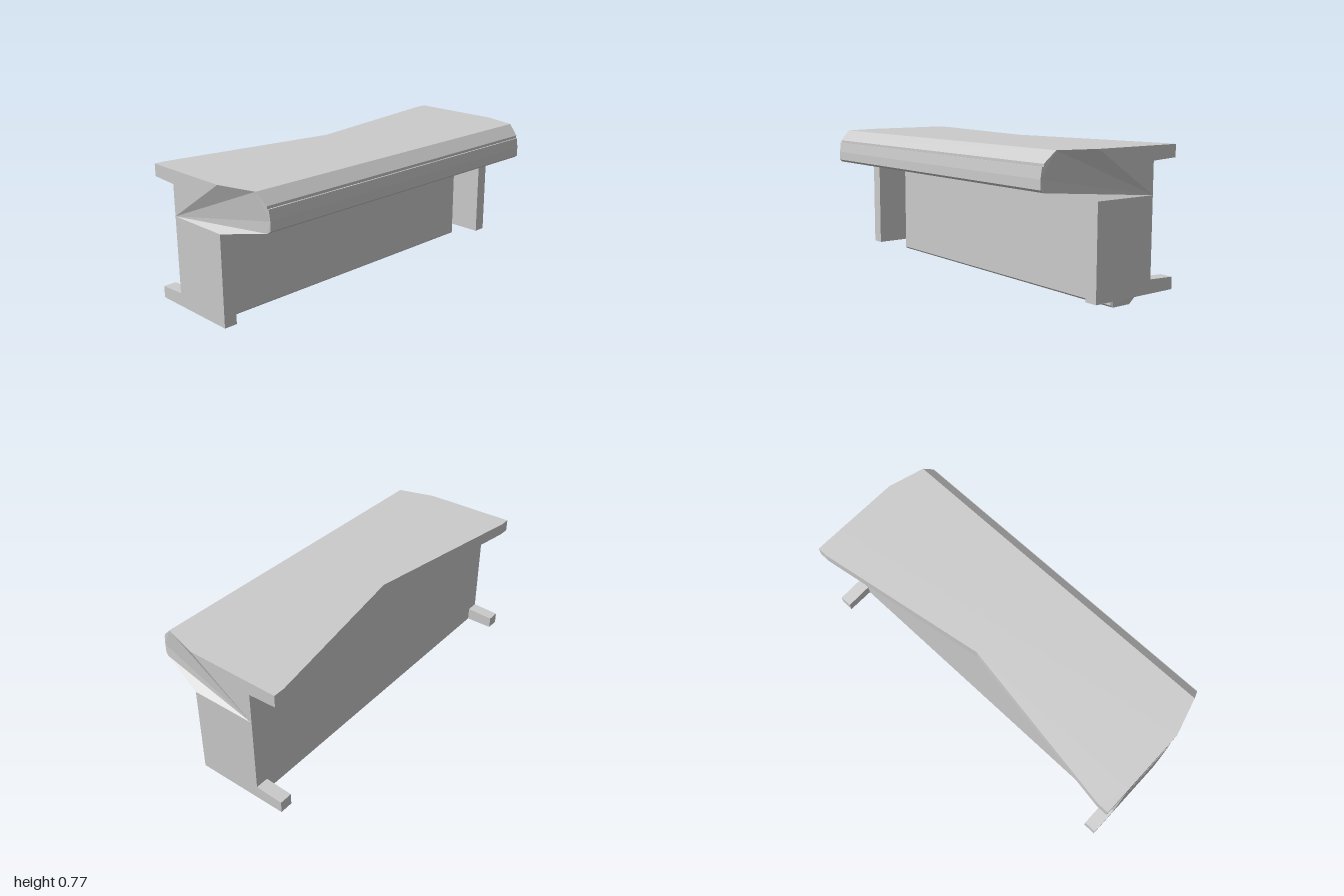
import * as THREE from 'three';

const material = new THREE.MeshStandardMaterial({ color: 0xcccccc, flatShading: true });

// Extrude a [z, y] profile along x between x0 and x1
function alongX(profile, x0, x1) {
  const shape = new THREE.Shape(profile.map(([z, y]) => new THREE.Vector2(z, y)));
  const geo = new THREE.ExtrudeGeometry(shape, { depth: x1 - x0, bevelEnabled: false });
  return geo.rotateY(-Math.PI / 2).translate(x1, 0, 0);
}

// Move every vertex of a geometry by a rule
function reshape(geo, rule) {
  const pos = geo.attributes.position;
  const v = new THREE.Vector3();
  for (let i = 0; i < pos.count; i++) {
    rule(v.fromBufferAttribute(pos, i));
    pos.setXYZ(i, v.x, v.y, v.z);
  }
  geo.computeVertexNormals();
  return geo;
}

export function createModel() {
  const group = new THREE.Group();
  const add = (name, geo) => {
    const mesh = new THREE.Mesh(geo, material);
    mesh.name = name;
    group.add(mesh);
  };

  // Overhanging canopy with a sloped nose, narrowing towards the front
  const canopy = alongX([
    [-0.24, 0.535], [0.118, 0.535], [0.375, 0.585], [0.392, 0.598], [0.392, 0.645],
    [0.385, 0.699], [0.377, 0.699], [0.377, 0.713], [0.32, 0.77], [0.118, 0.77], [-0.24, 0.77],
  ], -1, 1);
  add('canopy', reshape(canopy, (v) => {
    if (v.z > 0.119) v.x *= 1 - (v.z - 0.118) * 0.275;
  }));

  // Recessed main body with chamfered front edges and a bevelled lower back
  const body = alongX([
    [-0.24, 0.06], [-0.18, 0.002], [-0.07, 0.002], [-0.06, 0.012],
    [-0.06, 0.525], [-0.07, 0.535], [-0.24, 0.535],
  ], -0.93, 0.93);
  add('body', reshape(body, (v) => {
    if (v.z > -0.065) v.x *= 0.985;
    else if (v.y < 0.01) v.x *= 0.992;
  }));

  for (const [side, sign] of [['left', 1], ['right', -1]]) {
    // Side panel with a foot reaching backwards
    const panel = [
      [0.118, 0.06], [0.118, 0.535], [-0.24, 0.535], [-0.24, 0.13], [-0.392, 0.122], [-0.392, 0.06],
    ];
    add(side + 'SidePanel', alongX(panel, sign > 0 ? 0.93 : -1, sign > 0 ? 1 : -0.93));

    // Rear lip wing, tapering to the middle
    const outline = [[1, 0.392], [0.94, 0.392], [0, 0.24], [1, 0.24]];
    const shape = new THREE.Shape(outline.map(([x, y]) => new THREE.Vector2(sign * x, y)));
    const lip = new THREE.ExtrudeGeometry(shape, { depth: 0.072, bevelEnabled: false });
    lip.rotateX(-Math.PI / 2).translate(0, 0.698, 0);
    add(side + 'RearLip', reshape(lip, (v) => {
      if (v.y < 0.72 && v.z < -0.3) v.y = 0.706;
    }));
  }
  return group;
}
